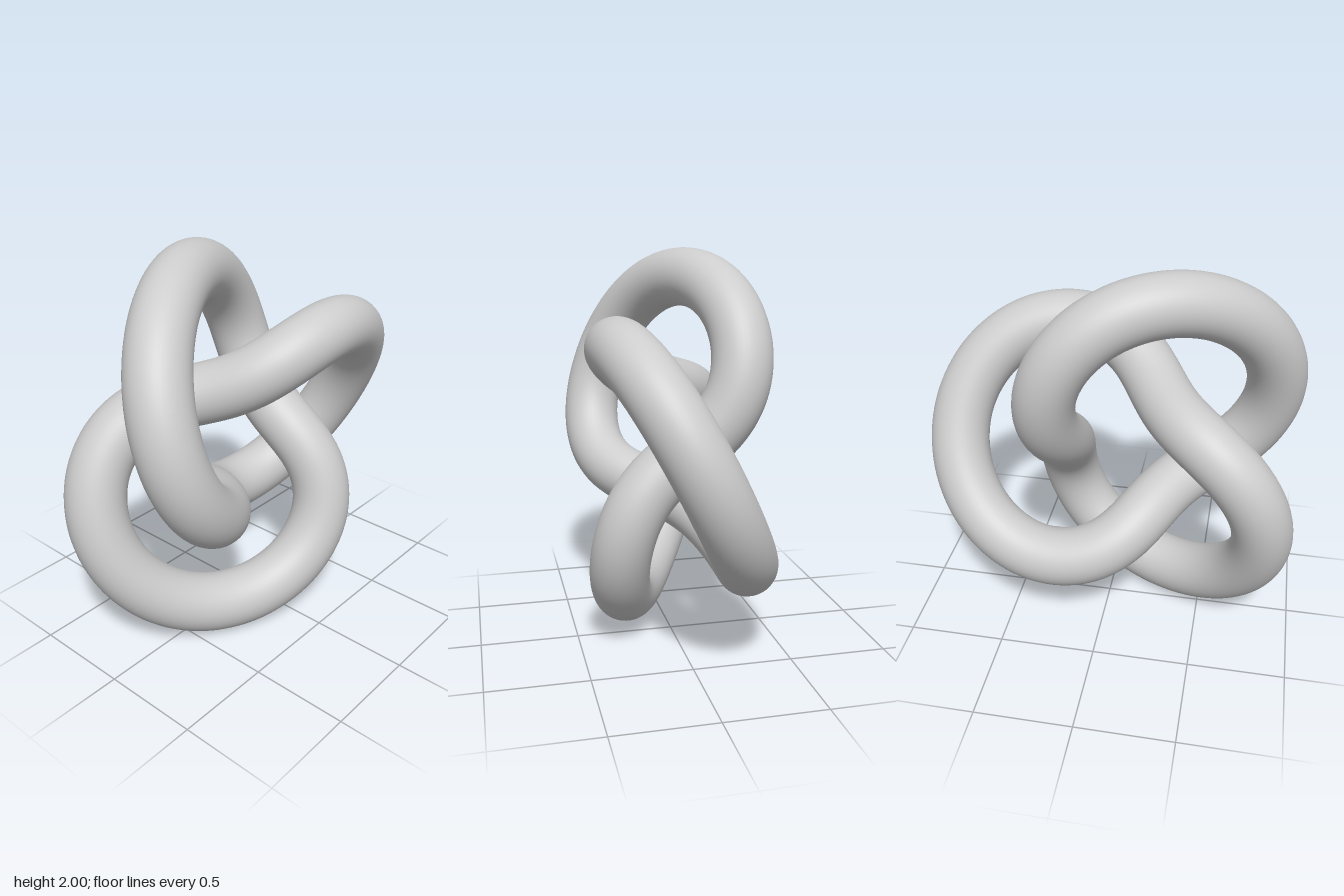
import * as THREE from 'three';

// Trefoil centreline: winds twice round the z axis while the radius and depth swing three times
class TrefoilCurve extends THREE.Curve {
  getPoint(u, target = new THREE.Vector3()) {
    const t = u * Math.PI * 2;
    const r = 0.62 + 0.277 * Math.cos(3 * t);
    return target.set(
      r * Math.cos(2 * t) - 0.097,
      r * Math.sin(2 * t) + 1,
      0.305 * Math.sin(3 * t)
    );
  }
}

export function createModel() {
  const group = new THREE.Group();
  group.name = 'trefoilKnot';

  const grey = new THREE.MeshStandardMaterial({ color: 0xcccccc });
  grey.name = 'light grey';

  // One closed, smooth round tube
  const tube = new THREE.Mesh(
    new THREE.TubeGeometry(new TrefoilCurve(), 360, 0.151, 40, true),
    grey
  );
  tube.name = 'knotTube';
  group.add(tube);

  return group;
}
